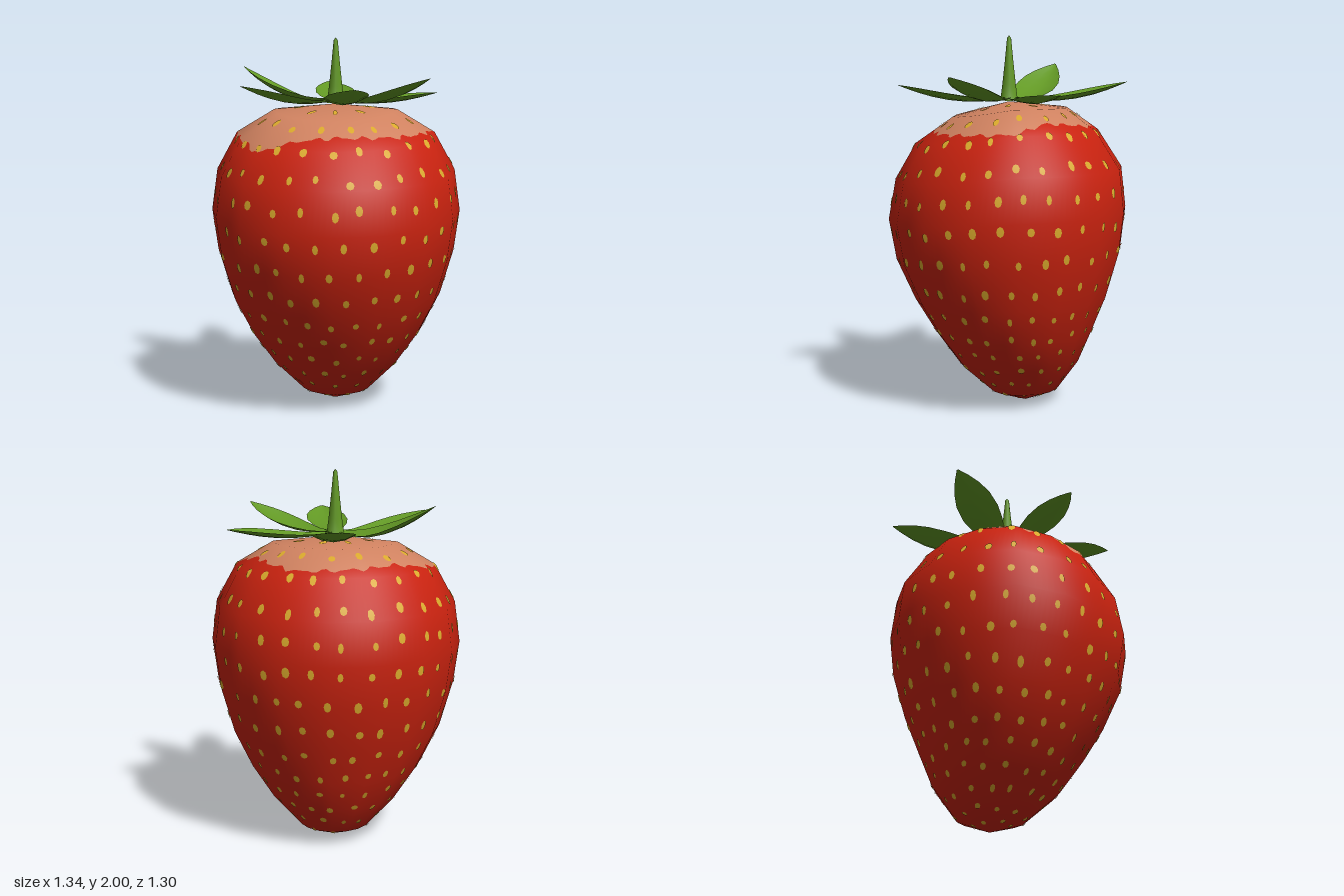
import * as THREE from 'three';

const SIDES = 16;
const lerp = THREE.MathUtils.lerp;

// fruit rings from the tip up: y, side radius, front z, back z, drop of the front edge
const RINGS = [
  [0.005, 0, -0.09, -0.09, 0],
  [0.08, 0.19, 0.10, -0.27, 0.01], [0.25, 0.35, 0.27, -0.39, 0.03],
  [0.42, 0.47, 0.40, -0.46, 0.02], [0.62, 0.57, 0.51, -0.54, 0.04],
  [0.86, 0.64, 0.61, -0.61, 0.06], [1.08, 0.67, 0.65, -0.635, 0.06],
  [1.30, 0.64, 0.61, -0.61, 0.06], [1.50, 0.53, 0.50, -0.48, 0.07],
  [1.62, 0.33, 0.30, -0.31, 0.05], [1.65, 0, 0, 0, 0],
];
const TOP = RINGS.length - 1;
// height of the pale shoulder's edge around the fruit, in rings
const EDGE = [8.45, 8.4, 8.3, 8.2, 8.05, 8.45, 8.35, 8.2, 8.25, 8.3, 8.35, 8.1, 7.95, 8.0, 7.8, 8.3];

const corner = (i, j) => {
  const [y, rx, zf, zb, drop] = RINGS[j];
  const a = (i / SIDES) * Math.PI * 2;
  return new THREE.Vector3(Math.sin(a) * rx, y - drop * Math.max(0, Math.cos(a)),
    (zf + zb) / 2 + Math.cos(a) * (zf - zb) / 2);
};
const cornerNormal = (i, j) => {
  if (j === 0 || j === TOP) return new THREE.Vector3(0, j ? 1 : -1, 0);
  const du = corner(i + 1, j).sub(corner(i - 1, j));
  return du.cross(corner(i, j + 1).sub(corner(i, j - 1))).normalize();
};
// blends the four corners of the facet that holds (u, v)
function blend(fn, u, v) {
  const i = Math.floor(u), j = Math.min(TOP - 1, Math.floor(v));
  const low = fn(i, j).lerp(fn(i + 1, j), u - i);
  return low.lerp(fn(i, j + 1).lerp(fn(i + 1, j + 1), u - i), v - j);
}

// collects points lying on the fruit's surface, with smooth normals
class Skin {
  pos = []; nor = []; idx = [];
  add(u, v, lift = 0) {
    const n = blend(cornerNormal, u, v).normalize();
    this.pos.push(...blend(corner, u, v).addScaledVector(n, lift).toArray());
    this.nor.push(...n.toArray());
    return this.pos.length / 3 - 1;
  }
  mesh(name, material) {
    const g = new THREE.BufferGeometry();
    g.setAttribute('position', new THREE.Float32BufferAttribute(this.pos, 3));
    g.setAttribute('normal', new THREE.Float32BufferAttribute(this.nor, 3));
    g.setIndex(this.idx);
    const m = new THREE.Mesh(g, material);
    m.name = name;
    return m;
  }
}

function edgeAt(u) {
  const i = Math.floor(u) % SIDES, a = u / SIDES * Math.PI * 2;
  return lerp(EDGE[i], EDGE[(i + 1) % SIDES], u - Math.floor(u))
    + 0.05 * Math.sin(a * 23) + 0.035 * Math.sin(a * 37 + 1);
}

// the fruit's skin between two heights, each a function of u
function band(name, material, clampV) {
  const skin = new Skin(), cols = SIDES * 8;
  for (let j = 0; j <= TOP; j++) {
    for (let c = 0; c <= cols; c++) {
      const u = c / cols * SIDES;
      skin.add(u, clampV(j, edgeAt(u % SIDES)));
    }
  }
  for (let j = 0; j < TOP; j++) {
    for (let c = 0; c < cols; c++) {
      const a = j * (cols + 1) + c, d = a + cols + 1;
      skin.idx.push(a, a + 1, d + 1, a, d + 1, d);
    }
  }
  return skin.mesh(name, material);
}

// staggered rows of small oval seeds
function seeds(material) {
  const skin = new Skin();
  let s = 7;
  const rnd = () => (s = (s * 16807) % 2147483647) / 2147483647;
  let row = 0;
  for (let v = 0.5; v < 9.5; row++) {
    const k = Math.min(1, v / 5.5), j = Math.floor(v);
    const radius = lerp(RINGS[j][1], RINGS[j + 1][1], v - j);
    const count = Math.max(6, Math.round(2 * Math.PI * radius / lerp(0.1, 0.15, k)));
    const perU = 2 * Math.PI * radius / SIDES;
    for (let n = 0; n < count; n++) {
      const u = ((n + (row % 2) / 2 + (rnd() - 0.5) * 0.25) / count) * SIDES + SIDES;
      const cv = v + (rnd() - 0.5) * 0.16;
      const w = lerp(0.014, 0.018, k) * (0.8 + rnd() * 0.4) / perU;
      const h = lerp(0.017, 0.026, k) * (0.8 + rnd() * 0.35) / 0.22;
      const mid = skin.add(u, cv, 0.005);
      for (let e = 0; e < 8; e++) {
        const a = e / 8 * Math.PI * 2;
        skin.add(u + Math.cos(a) * w, cv + Math.sin(a) * h, 0.004);
        skin.idx.push(mid, mid + 1 + e, mid + 1 + (e + 1) % 8);
      }
    }
    v += lerp(0.46, 0.72, k);
  }
  return skin.mesh('seeds', material);
}

// a cupped leaf from the crown to its tip: [distance, half width] per station
const LEAF = [[0, 0.03], [0.12, 0.04], [0.25, 0.062], [0.4, 0.095], [0.55, 0.112],
  [0.7, 0.106], [0.82, 0.08], [0.92, 0.043], [1, 0.004]];
function leaf([x, y, z, bend, roll, width], material) {
  const length = Math.hypot(x, z), dx = x / length, dz = z / length;
  const pos = [], idx = [], across = 4;
  LEAF.forEach(([t, half], j) => {
    for (let i = 0; i <= across; i++) {
      const k = i / across * 2 - 1;
      const side = k * half * width + bend * Math.sin(Math.PI * t);
      const along = t * length;
      const rise = 1.665 - 0.025 * Math.sin(Math.PI * t) + (y - 1.665) * t ** 2.2;
      pos.push(dx * along - dz * side, rise + half * (0.3 * k * k + roll * k), dz * along + dx * side);
      if (j && i) {
        const d = j * (across + 1) + i, a = d - across - 1;
        idx.push(a - 1, d - 1, d, a - 1, d, a);
      }
    }
  });
  // upper face must point up
  for (let i = 0; i < idx.length; i += 3) [idx[i + 1], idx[i + 2]] = [idx[i + 2], idx[i + 1]];
  const g = new THREE.BufferGeometry();
  g.setAttribute('position', new THREE.Float32BufferAttribute(pos, 3));
  g.setIndex(idx);
  g.computeVertexNormals();
  const m = new THREE.Mesh(g, material);
  m.name = 'leaf';
  return m;
}

export function createModel() {
  const paint = (name, color, side = THREE.FrontSide) => {
    const m = new THREE.MeshStandardMaterial({ color, side });
    m.name = name;
    return m;
  };
  const red = paint('red skin', 0xc8220f);
  const pale = paint('pale shoulder', 0xd08260);
  const yellow = paint('yellow seed', 0xd9a92c);
  const green = paint('green leaf', 0x629824, THREE.DoubleSide);

  const model = new THREE.Group();
  model.name = 'strawberry';

  // fruit
  model.add(band('fruit', red, (v, edge) => Math.min(v, edge)));
  model.add(band('shoulder', pale, (v, edge) => Math.max(v, edge)));
  model.add(seeds(yellow));

  // crown of leaves: tip x, y, z, sideways bend, roll, width
  const crown = new THREE.Group();
  crown.name = 'crown';
  for (const spec of [
    [-0.06, 1.75, -0.645, 0.025, 0, 1], [0.55, 1.70, -0.2, -0.015, 0, 0.9],
    [0.49, 1.79, 0.33, 0, 0, 0.88], [0.11, 1.74, 0.59, 0, 0, 1],
    [-0.48, 1.75, 0.31, 0, 0, 0.85], [-0.52, 1.84, -0.3, 0, -0.2, 0.95],
  ]) crown.add(leaf(spec, green));
  model.add(crown);

  // stem
  const profile = [[0.06, 1.655], [0.045, 1.67], [0.036, 1.74], [0.022, 1.87], [0.011, 1.985], [0, 2]];
  const stem = new THREE.Mesh(
    new THREE.LatheGeometry(profile.map(([r, y]) => new THREE.Vector2(r, y)), 8), green);
  stem.name = 'stem';
  model.add(stem);
  return model;
}
